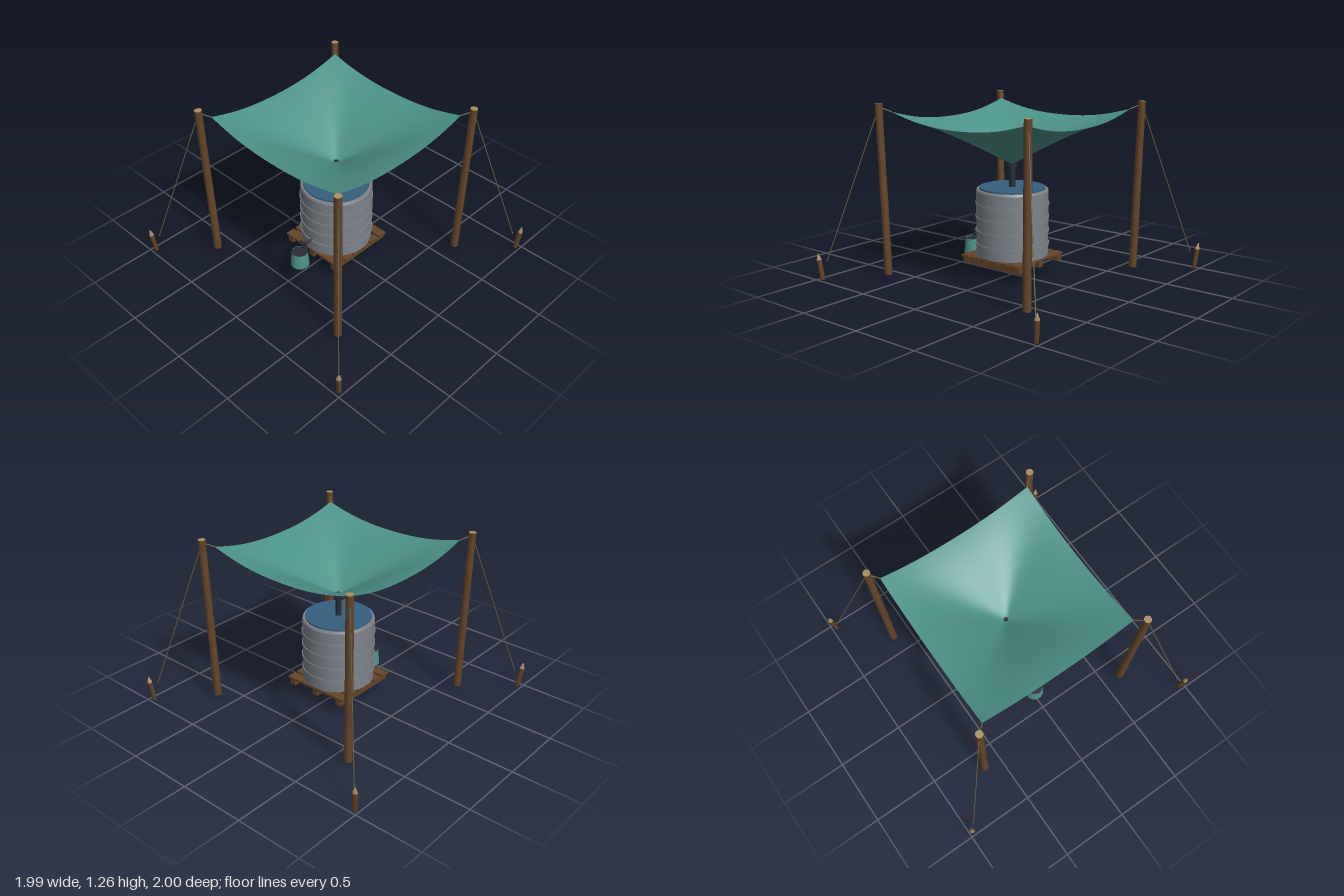
import * as THREE from 'three';

const paint = (name, color, side = THREE.FrontSide) => {
  const m = new THREE.MeshStandardMaterial({ color, side });
  m.name = name;
  return m;
};

export function createModel() {
  const wood = paint('brown wood', 0x64452a);
  const cutWood = paint('cut wood', 0xa88d60);
  const cord = paint('cord', 0x6a5c45);
  const cloth = paint('teal cloth', 0x4c9389, THREE.DoubleSide);
  const steel = paint('grey tank', 0x7d838a);
  const blue = paint('blue lid', 0x35607f);
  const dark = paint('dark metal', 0x2b2b34);

  const model = new THREE.Group();
  const V = (x, y, z) => new THREE.Vector3(x, y, z);

  const add = (name, geo, mat, parent = model, x = 0, y = 0, z = 0) => {
    const mesh = new THREE.Mesh(geo, mat);
    mesh.name = name;
    mesh.position.set(x, y, z);
    parent.add(mesh);
    return mesh;
  };
  // Cylinder running from point a to point b
  const rod = (name, a, b, rTop, rBottom, mat, parent = model, sides = 8) => {
    const dir = b.clone().sub(a);
    const mesh = add(name, new THREE.CylinderGeometry(rTop, rBottom, dir.length(), sides), mat, parent);
    mesh.position.copy(a).add(b).multiplyScalar(0.5);
    mesh.quaternion.setFromUnitVectors(V(0, 1, 0), dir.normalize());
    return mesh;
  };

  // Rain-catching sail: sags to the centre, corners lifted
  const sail = new THREE.PlaneGeometry(1.2, 1.2, 48, 48).rotateX(-Math.PI / 2);
  const p = sail.attributes.position;
  for (let i = 0; i < p.count; i++) {
    const s = Math.abs(p.getX(i)) / 0.6, t = Math.abs(p.getZ(i)) / 0.6;
    const q = Math.pow(s ** 4 + t ** 4, 0.25);
    p.setY(i, 0.82 + 0.305 * (1.25 * q - 0.25 * q ** 3) + 0.065 * s * s * t * t);
  }
  sail.computeVertexNormals();
  add('sail', sail, cloth);
  add('sailDrain', new THREE.CylinderGeometry(0.016, 0.016, 0.02, 12), dark, model, 0, 0.825, 0);

  // Corner posts, guy ropes and stakes
  for (const sx of [-1, 1]) for (const sz of [-1, 1]) {
    const corner = new THREE.Group();
    corner.name = 'cornerSupport';
    model.add(corner);
    const at = (d, y) => V(sx * d, y, sz * d);
    rod('post', at(0.635, 0.035), at(0.66, 1.265), 0.027, 0.029, wood, corner, 10).material = [wood, cutWood, wood];
    rod('sailTie', at(0.598, 1.208), at(0.645, 1.235), 0.005, 0.005, cord, corner, 6);
    rod('guyRope', at(0.665, 1.22), at(0.942, 0.14), 0.004, 0.004, cord, corner, 6);
    rod('stake', at(0.966, 0.008), at(0.981, 0.155), 0.019, 0.017, wood, corner, 6);
    rod('stakePoint', at(0.981, 0.155), at(0.986, 0.2), 0.003, 0.019, cutWood, corner, 6);
  }

  // Pallet: three runners under six boards
  const pallet = new THREE.Group();
  pallet.name = 'pallet';
  model.add(pallet);
  for (const x of [-0.22, 0, 0.22])
    add('palletRunner', new THREE.BoxGeometry(0.045, 0.044, 0.525), wood, pallet, x, 0.128, 0);
  for (let i = 0; i < 6; i++)
    add('palletBoard', new THREE.BoxGeometry(0.525, 0.016, 0.07), wood, pallet, 0, 0.158, -0.2275 + i * 0.091);

  // Tank with bands and lid
  const profile = [[0, 0.166], [0.26, 0.166], [0.26, 0.166], [0.262, 0.636], [0.262, 0.636],
    [0.255, 0.65], [0.255, 0.65], [0, 0.65]].map(([r, y]) => new THREE.Vector2(r, y));
  add('tank', new THREE.LatheGeometry(profile, 48), steel);
  for (const y of [0.25, 0.347, 0.443, 0.54]) {
    add('tankBand', new THREE.CylinderGeometry(0.267, 0.267, 0.018, 48), steel, model, 0, y, 0);
  }
  add('lid', new THREE.CylinderGeometry(0.24, 0.24, 0.016, 48), blue, model, 0, 0.653, 0);

  // Inlet pipe
  add('inletPipe', new THREE.CylinderGeometry(0.022, 0.022, 0.18, 16), dark, model, 0, 0.735, 0);
  add('inletCollar', new THREE.CylinderGeometry(0.036, 0.036, 0.014, 16), dark, model, 0, 0.815, 0);

  // Tap
  const tap = new THREE.Group();
  tap.name = 'tap';
  model.add(tap);
  rod('tapPipe', V(0, 0.255, 0.25), V(0, 0.255, 0.345), 0.011, 0.011, dark, tap, 12);
  rod('tapSpout', V(0, 0.225, 0.338), V(0, 0.266, 0.338), 0.011, 0.011, dark, tap, 12);
  rod('tapStem', V(0, 0.262, 0.338), V(0, 0.282, 0.338), 0.005, 0.005, dark, tap, 8);
  const handle = add('tapHandle', new THREE.BoxGeometry(0.06, 0.006, 0.072), dark, tap, 0, 0.281, 0.342);
  handle.rotation.x = -0.3;
  handle.scale.z = 0.25;
  rod('tapLever', V(0, 0.268, 0.308), V(0, 0.292, 0.376), 0.004, 0.004, dark, tap, 6);

  // Bucket under the tap
  const bucket = new THREE.Group();
  bucket.name = 'bucket';
  bucket.position.z = 0.378;
  model.add(bucket);
  add('bucketWall', new THREE.CylinderGeometry(0.059, 0.069, 0.115, 24, 1, true), cloth, bucket, 0, 0.1625, 0);
  add('bucketBase', new THREE.CircleGeometry(0.069, 24).rotateX(Math.PI / 2), cloth, bucket, 0, 0.105, 0);
  add('bucketOpening', new THREE.CircleGeometry(0.059, 24).rotateX(-Math.PI / 2), dark, bucket, 0, 0.215, 0);

  return model;
}
